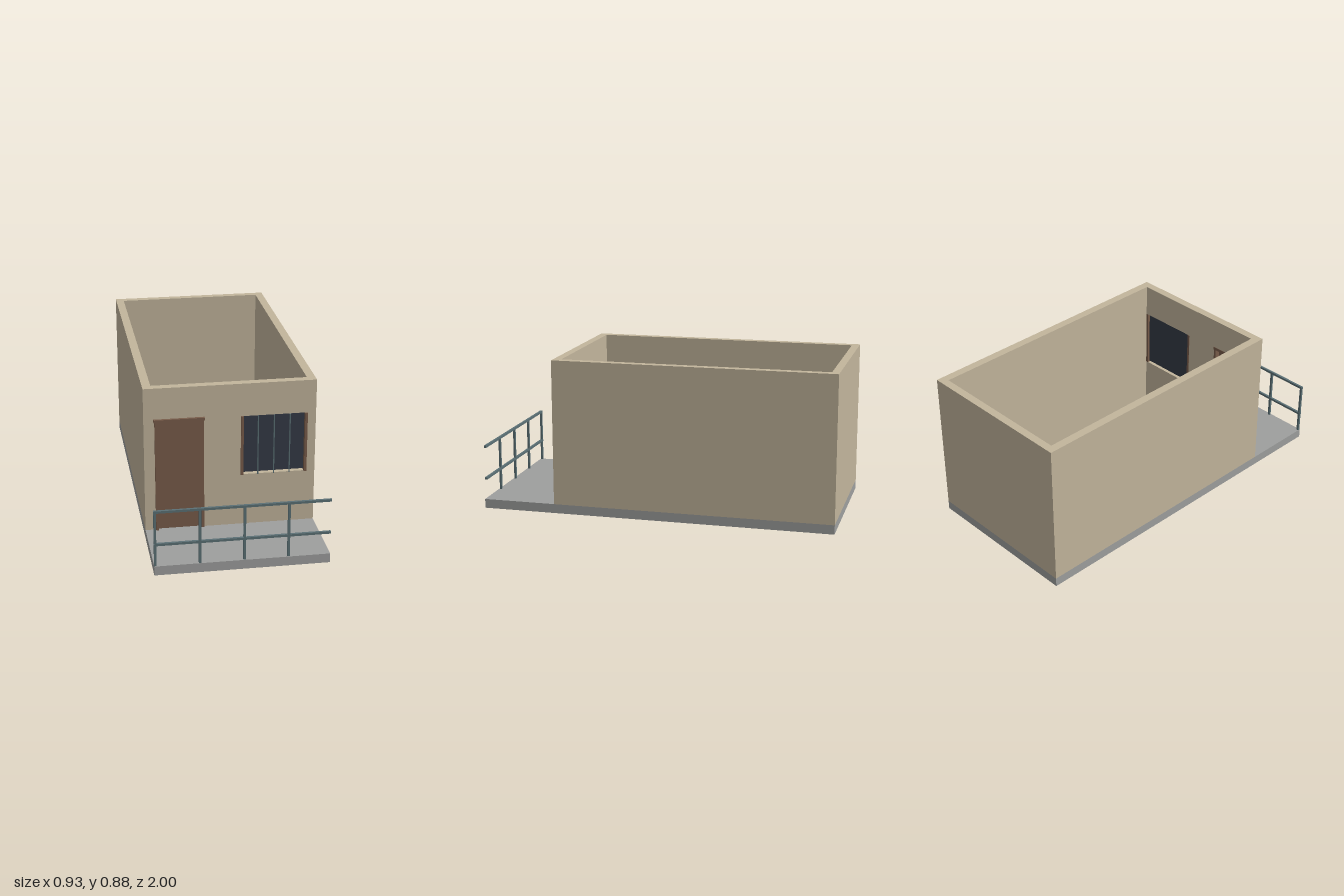
import * as THREE from 'three';

const mat = (name, color) => {
  const m = new THREE.MeshStandardMaterial({ color });
  m.name = name;
  return m;
};

export function createModel() {
  const model = new THREE.Group();
  model.name = 'smallHouse';
  const plaster = mat('plaster', 0xc2b59c);
  const concrete = mat('concrete', 0x9e9f9e);
  const wood = mat('wood', 0x785c4a);
  const glass = mat('glass', 0x343a46);
  const steel = mat('steel', 0x5b7075);

  const add = (parent, name, geometry, material) => {
    const mesh = new THREE.Mesh(geometry, material);
    mesh.name = name;
    parent.add(mesh);
    return mesh;
  };
  // Box given by its extents along each axis
  const box = (parent, name, material, [x0, x1], [y0, y1], [z0, z1]) => {
    const g = new THREE.BoxGeometry(x1 - x0, y1 - y0, z1 - z0);
    g.translate((x0 + x1) / 2, (y0 + y1) / 2, (z0 + z1) / 2);
    return add(parent, name, g, material);
  };
  const shapeOf = (pts) => new THREE.Shape(pts.map(([x, y]) => new THREE.Vector2(x, y)));
  const group = (name) => {
    const g = new THREE.Group();
    g.name = name;
    model.add(g);
    return g;
  };

  const W = 0.466, IN = 0.42, FLOOR = 0.052, TOP = 0.875;
  const FRONT = 0.585, INNER = 0.54, BACK = -0.957;

  // Floor slab with porch
  box(model, 'floorSlab', concrete, [-W, W], [0, FLOOR], [-1, 1]);

  // Back and side walls, extruded upward from a U-shaped plan
  const plan = shapeOf([
    [-W, -INNER], [-IN, -INNER], [-IN, -BACK], [IN, -BACK],
    [IN, -INNER], [W, -INNER], [W, 1], [-W, 1],
  ]);
  const sides = new THREE.ExtrudeGeometry(plan, { depth: TOP - FLOOR, bevelEnabled: false });
  sides.rotateX(-Math.PI / 2).translate(0, FLOOR, 0);
  add(model, 'sideAndBackWalls', sides, plaster);

  // Front wall with a doorway notch and a window hole
  const facade = shapeOf([
    [-W, FLOOR], [-0.4, FLOOR], [-0.4, 0.69], [-0.15, 0.69],
    [-0.15, FLOOR], [W, FLOOR], [W, TOP], [-W, TOP],
  ]);
  facade.holes.push(shapeOf([[0.064, 0.35], [0.064, 0.69], [0.412, 0.69], [0.412, 0.35]]));
  const front = new THREE.ExtrudeGeometry(facade, { depth: FRONT - INNER, bevelEnabled: false });
  front.translate(0, 0, INNER);
  add(model, 'frontWall', front, plaster);

  // Door with frame
  const door = group('door');
  box(door, 'doorLeaf', wood, [-0.394, -0.157], [0.06, 0.686], [0.568, 0.592]);
  for (const [x0, x1] of [[-0.408, -0.393], [-0.158, -0.144]]) {
    box(door, 'doorJamb', wood, [x0, x1], [FLOOR, 0.685], [0.538, 0.598]);
  }
  box(door, 'doorHeader', wood, [-0.413, -0.14], [0.684, 0.7], [0.538, 0.6]);

  // Window with side frames and bars
  const win = group('window');
  box(win, 'windowPane', glass, [0.07, 0.406], [0.357, 0.684], [0.552, 0.572]);
  for (const [x0, x1] of [[0.057, 0.071], [0.405, 0.419]]) {
    box(win, 'windowJamb', wood, [x0, x1], [0.35, 0.69], [0.538, 0.597]);
  }
  for (const x of [0.15, 0.237, 0.323]) {
    box(win, 'windowBar', steel, [x - 0.003, x + 0.003], [0.35, 0.69], [0.59, 0.596]);
  }

  // Porch railing, open-ended on the model's left
  const railing = group('railing');
  for (const y of [0.174, 0.36]) {
    box(railing, 'rail', steel, [-W, W], [y - 0.0065, y + 0.0065], [0.983, 0.997]);
  }
  for (let i = 0; i < 4; i++) {
    const x = -0.459 + i * 0.234;
    box(railing, 'railPost', steel, [x - 0.0065, x + 0.0065], [FLOOR, 0.36], [0.984, 0.996]);
  }

  return model;
}
